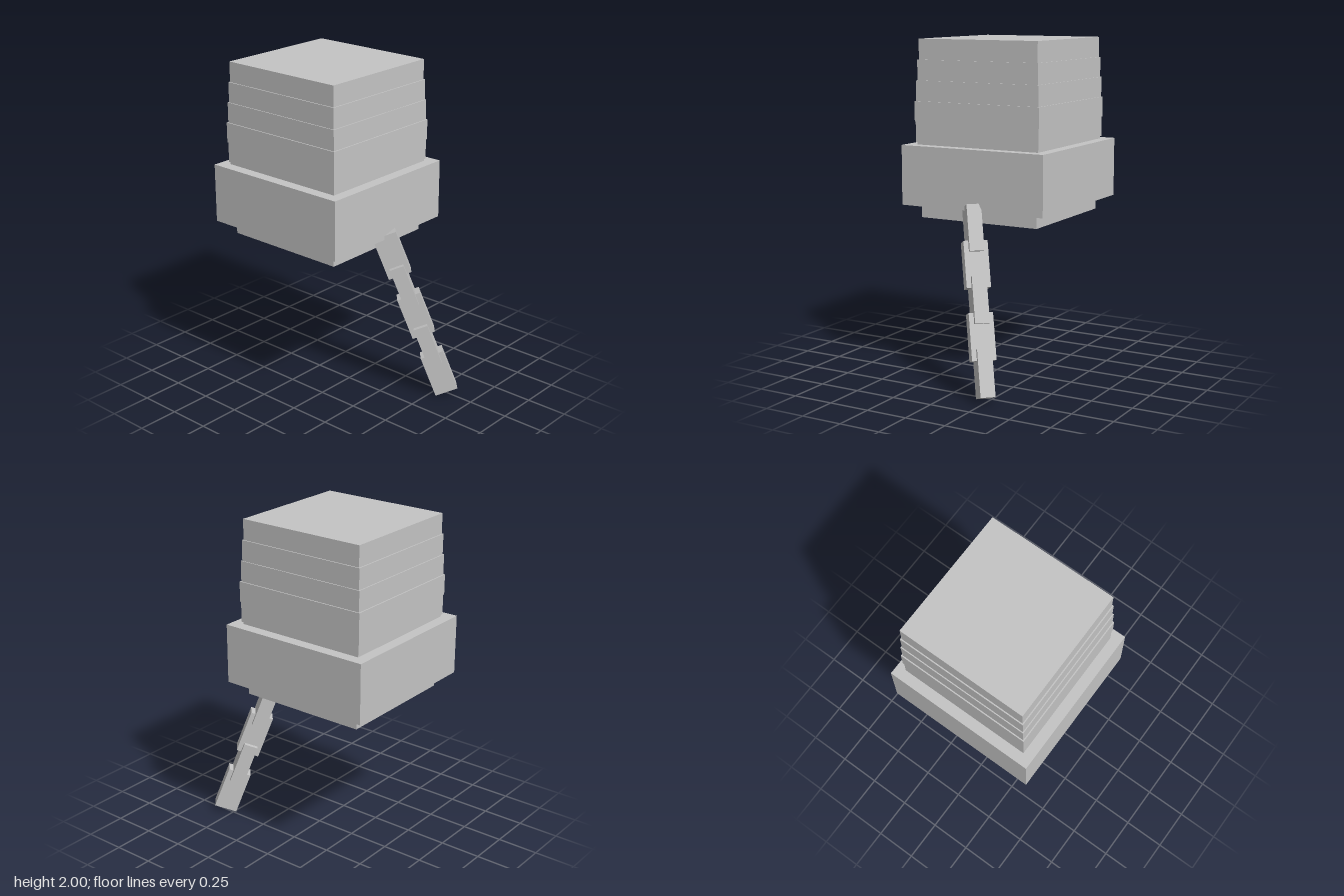
import * as THREE from 'three';

export function createModel() {
  const model = new THREE.Group();
  const stone = new THREE.MeshStandardMaterial({ color: 0xc4c4c4 });
  stone.name = 'plain grey';

  // Box that spans y0..y1, with half width and half depth
  const slab = (name, halfX, halfZ, y0, y1) => {
    const mesh = new THREE.Mesh(new THREE.BoxGeometry(2 * halfX, y1 - y0, 2 * halfZ), stone);
    mesh.name = name;
    mesh.position.set(-0.002, (y0 + y1) / 2, -0.168);
    model.add(mesh);
  };

  // Body: narrow underside, wide base and a thin neck
  slab('underside', 0.384, 0.39, 0.947, 1.03);
  slab('base', 0.467, 0.475, 1.028, 1.383);
  slab('neck', 0.4, 0.408, 1.383, 1.397);

  // Stacked layers, from the bottom up
  const layers = [0.406, 0.41, 0.403, 0.397, 0.39];
  const step = (2 - 1.397) / layers.length;
  layers.forEach((half, i) => {
    const y = 1.397 + i * step;
    slab('layer' + (i + 1), half, half + 0.009, y, y + step);
  });

  // Chain leaning out to the front left; each link is turned a quarter from the last
  const chain = new THREE.Group();
  chain.name = 'chain';
  chain.position.set(0.216, 0.156, 0.53);
  chain.rotation.set(-0.363, 0.733, 0, 'YXZ');
  const linkGeometry = new THREE.BoxGeometry(0.085, 0.27, 0.14);
  for (let i = 0; i < 5; i++) {
    const link = new THREE.Mesh(linkGeometry, stone);
    link.name = 'chainLink' + (i + 1);
    link.position.y = i * 0.206;
    link.rotation.y = (i % 2) * Math.PI / 2;
    chain.add(link);
  }
  model.add(chain);

  return model;
}
